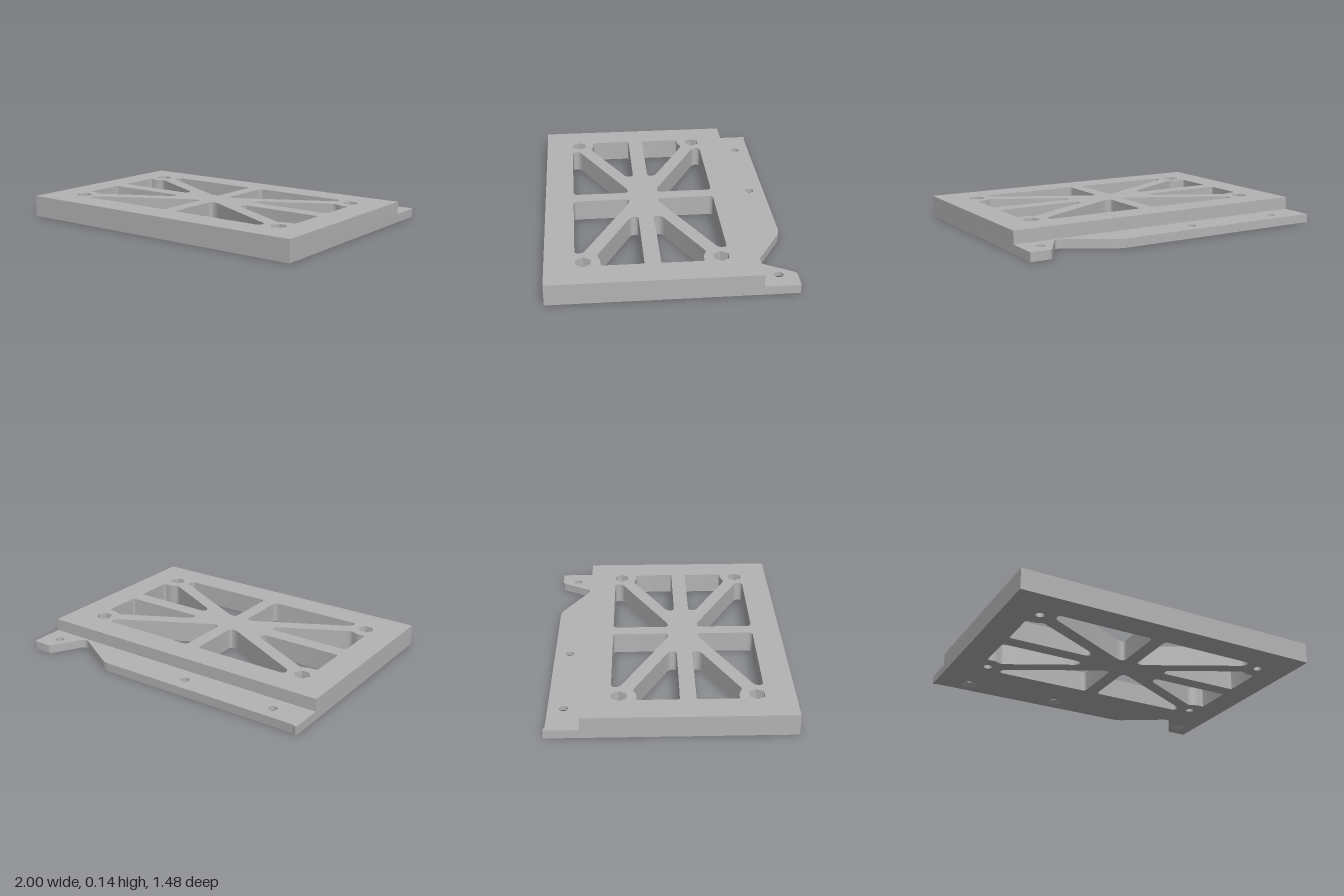
import * as THREE from 'three';
import { toCreasedNormals } from 'three/addons/utils/BufferGeometryUtils.js';

const MID_Z = 0.104;      // centre line of the window pattern
const TOP = 0.135, STEP = 0.055, SINK = 0.028;
const HOLE_R = 0.027, SINK_R = 0.052;

// Closed outline through [x, z, trim]; trim is how far each corner is rounded back
function rounded(points, target = new THREE.Path()) {
  const n = points.length;
  points.forEach(([x, z, trim = 0], i) => {
    const corner = new THREE.Vector2(x, z);
    const toward = ([px, pz]) => {
      const d = new THREE.Vector2(px, pz).sub(corner);
      return corner.clone().addScaledVector(d, Math.min(trim / d.length(), 0.5));
    };
    const a = toward(points[(i + n - 1) % n]), b = toward(points[(i + 1) % n]);
    if (i === 0) target.moveTo(a.x, a.y); else target.lineTo(a.x, a.y);
    if (trim > 0) target.quadraticCurveTo(x, z, b.x, b.y);
  });
  target.closePath();
  return target;
}

// Regular polygon hole with a corner on the x axis
function ring(x, z, r, sides) {
  return rounded(Array.from({ length: sides }, (_, i) => {
    const a = (i / sides) * Math.PI * 2;
    return [x + r * Math.cos(a), z + r * Math.sin(a)];
  }));
}

// One quarter of the window pattern, as [x, distance from centre line, trim]
const endWindow = [
  [0.045, 0.455, 0.03], [0.678, 0.455, 0.03], [0.678, 0.405, 0.03],
  [0.09, 0.097, 0.03], [0.045, 0.097, 0.03],
];
const sideWindow = [
  [0.82, 0.049, 0.015], [0.82, 0.306, 0.02], [0.77, 0.301, 0.03],
  [0.713, 0.325, 0.02], [0.274, 0.097, 0.03], [0.274, 0.049, 0.03],
];

const quarters = [[1, 1], [-1, 1], [1, -1], [-1, -1]];
const boltSpots = quarters.map(([sx, sz]) => [sx * 0.776, MID_Z + sz * 0.407]);
const screwSpots = [[-0.78, -0.63], [-0.152, -0.63], [0.883, -0.63]];

const windows = () => quarters.flatMap(([sx, sz]) =>
  [endWindow, sideWindow].map((w) =>
    rounded(w.map(([x, d, t]) => [sx * x, MID_Z + sz * d, t]))));

// Plate standing between two heights, cut by holes
function plate(name, outline, holes, bottom, top, material) {
  const shape = rounded(outline, new THREE.Shape());
  shape.holes.push(...holes);
  const geo = new THREE.ExtrudeGeometry(shape, {
    depth: top - bottom, bevelEnabled: false, curveSegments: 8,
  });
  geo.rotateX(Math.PI / 2).translate(0, top, 0);
  const mesh = new THREE.Mesh(toCreasedNormals(geo, 0.5), material);
  mesh.name = name;
  return mesh;
}

export function createModel() {
  const group = new THREE.Group();
  group.name = 'mountingPlate';
  const grey = new THREE.MeshStandardMaterial({ color: 0xb3b3b3, side: THREE.DoubleSide });
  grey.name = 'grey';

  const bodyOutline = [[-1, -0.525], [1, -0.525], [1, 0.74], [-1, 0.74]];
  // Base outline with the rear flange and its V notch
  const baseOutline = [
    [-1, -0.735], [-0.985, -0.735, 0.006], [-0.97, -0.725, 0.006],
    [0.41, -0.725, 0.04], [0.718, -0.541, 0.025], [0.75, -0.541, 0.025],
    [0.868, -0.742, 0.02], [1, -0.742, 0.012], [1, 0.74], [-1, 0.74],
  ];
  const rings = (spots, r, sides) => spots.map(([x, z]) => ring(x, z, r, sides));

  // Thick body with hexagonal nut pockets
  group.add(plate('upperBody', bodyOutline,
    [...windows(), ...rings(boltSpots, 0.052, 6)], STEP, TOP, grey));

  // Base and flange, in two layers so the screw holes can widen underneath
  group.add(plate('flangeBase', baseOutline,
    [...windows(), ...rings(boltSpots, HOLE_R, 24), ...rings(screwSpots, HOLE_R, 24)],
    SINK, STEP, grey));
  group.add(plate('underside', baseOutline,
    [...windows(), ...rings(boltSpots, HOLE_R, 24), ...rings(screwSpots, SINK_R, 24)],
    0, SINK, grey));

  // Conical countersinks
  screwSpots.forEach(([x, z]) => {
    const cone = new THREE.Mesh(
      new THREE.CylinderGeometry(HOLE_R, SINK_R, SINK, 24, 1, true), grey);
    cone.position.set(x, SINK / 2, z);
    cone.name = 'countersink';
    group.add(cone);
  });
  return group;
}
